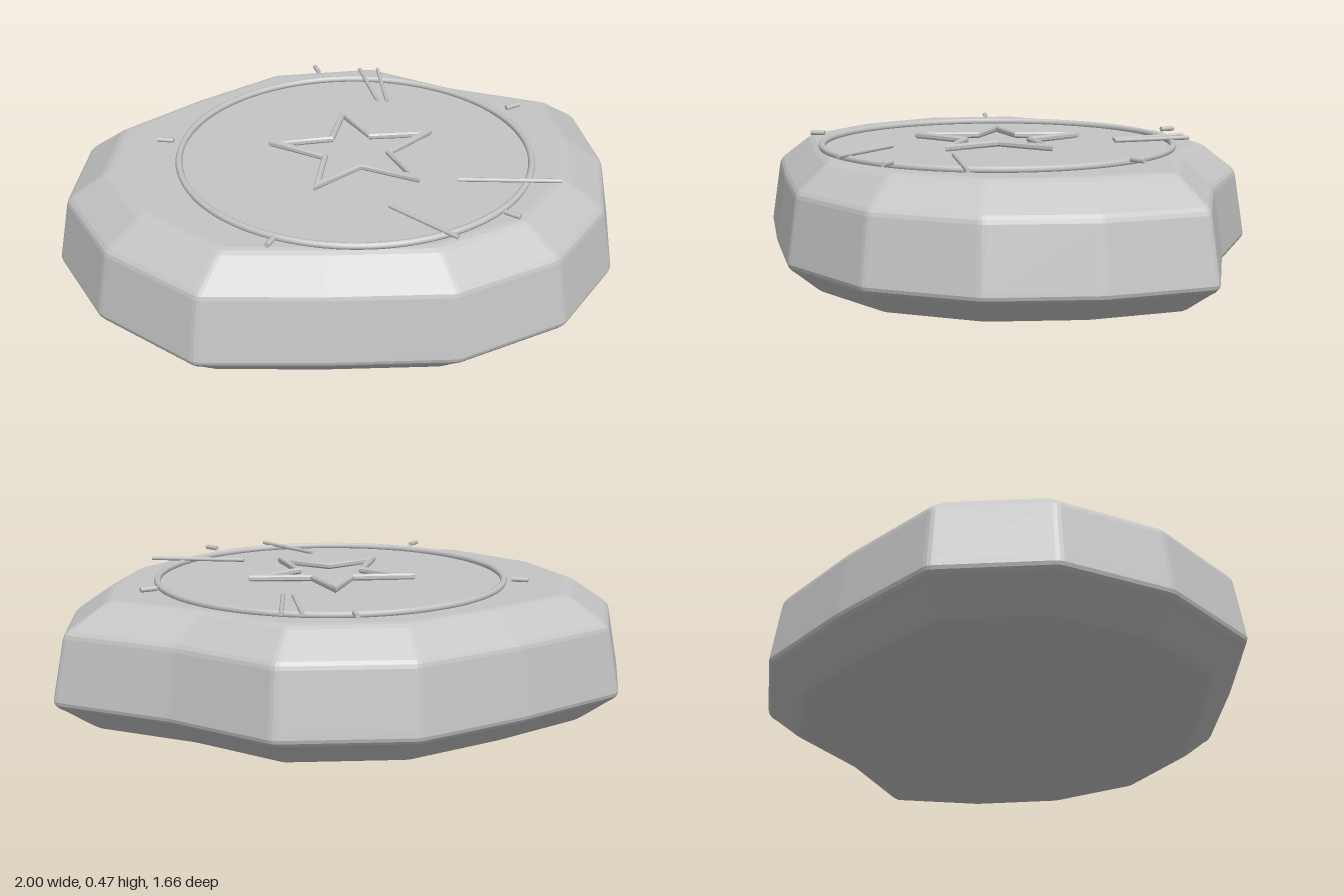
import * as THREE from 'three';

export function createModel() {
  const model = new THREE.Group();
  const stone = new THREE.MeshStandardMaterial({ color: 0xc5c5c5 });
  stone.name = 'stone';

  const add = (geometry, name) => {
    const mesh = new THREE.Mesh(geometry, stone);
    mesh.name = name;
    model.add(mesh);
    return mesh;
  };

  // Slab outline (x, z), each corner softened into three points
  const corners = [
    [-0.18, -0.83], [-0.55, -0.62], [-0.91, -0.37], [-1, 0.02], [-0.87, 0.4],
    [-0.58, 0.72], [-0.16, 0.785], [0.26, 0.83], [0.65, 0.68], [0.9, 0.38],
    [1, 0.02], [1, -0.36], [0.61, -0.57], [0.28, -0.83],
  ].map(([x, z]) => new THREE.Vector2(x, z));
  const outline = corners.flatMap((p, i) => {
    const before = p.clone().lerp(corners.at(i - 1), 0.035);
    const after = p.clone().lerp(corners[(i + 1) % corners.length], 0.035);
    const middle = before.clone().lerp(after, 0.5).lerp(p, 0.5);
    return [before, middle, after];
  });

  // Slab sides: the outline scaled through a rounded profile (scale, y)
  const profile = [
    [0, 0], [0.84, 0], [0.857, 0.003], [0.875, 0.013], [0.968, 0.078], [0.986, 0.089],
    [0.996, 0.1], [1, 0.112], [0.997, 0.13], [0.961, 0.325], [0.956, 0.338], [0.945, 0.35],
    [0.83, 0.428], [0.81, 0.437], [0.79, 0.44], [0, 0.44],
  ];
  const n = outline.length;
  const last = profile.length - 2;
  const positions = profile.flatMap(([s, y]) => outline.flatMap((p) => [p.x * s, y, p.y * s]));
  const indices = [];
  for (let j = 0; j <= last; j++) {
    for (let i = 0; i < n; i++) {
      const a = j * n + i, b = j * n + (i + 1) % n, c = a + n, d = b + n;
      if (j > 0) indices.push(a, b, d);
      if (j < last) indices.push(a, d, c);
    }
  }
  const indexed = new THREE.BufferGeometry();
  indexed.setAttribute('position', new THREE.Float32BufferAttribute(positions, 3));
  indexed.setIndex(indices);
  const slab = indexed.toNonIndexed();
  slab.computeVertexNormals();
  add(slab, 'slab');

  // Raised circle
  const cx = 0.05, cz = 0.032;
  const ring = add(new THREE.TorusGeometry(0.616, 0.012, 8, 96), 'ring');
  ring.rotation.x = -Math.PI / 2;
  ring.position.set(cx, 0.448, cz);

  // Raised star outline with bevelled edges
  const starPoints = (outer, inner) => Array.from({ length: 10 }, (_, i) => {
    const r = i % 2 ? inner : outer;
    const a = Math.PI / 2 + i * Math.PI / 5;
    return new THREE.Vector2(r * Math.cos(a), r * Math.sin(a));
  });
  const starShape = new THREE.Shape(starPoints(0.31, 0.13));
  starShape.holes.push(new THREE.Path(starPoints(0.256, 0.107).reverse()));
  const star = add(new THREE.ExtrudeGeometry(starShape, {
    depth: 0.01, bevelThickness: 0.006, bevelSize: 0.006, bevelOffset: -0.006, bevelSegments: 1,
  }), 'star');
  star.rotation.x = -Math.PI / 2;
  star.position.set(cx, 0.458, cz);

  // Scratches and tick marks: thin rounded bars between two (x, z) points
  const bar = (name, x1, z1, x2, z2, width, y) => {
    const length = Math.hypot(x2 - x1, z2 - z1);
    const geometry = new THREE.CylinderGeometry(width / 2, width / 2, length, 8);
    geometry.rotateZ(Math.PI / 2);
    const mesh = add(geometry, name);
    mesh.position.set((x1 + x2) / 2, y, (z1 + z2) / 2);
    mesh.rotation.y = -Math.atan2(z2 - z1, x2 - x1);
  };
  [
    [0.175, -0.63, 0.195, -0.35], [0.243, -0.62, 0.23, -0.34],
    [0.36, 0.292, 0.705, 0.355], [0.1, 0.43, 0.28, 0.66],
  ].forEach((p) => bar('scratch', ...p, 0.015, 0.462));
  [
    [0.005, -0.675, 0.012, -0.622], [-0.63, -0.151, -0.575, -0.135],
    [0.655, -0.21, 0.708, -0.234], [0.465, 0.53, 0.505, 0.57],
    [-0.325, 0.62, -0.297, 0.575],
  ].forEach((p) => bar('tickMark', ...p, 0.018, 0.464));

  return model;
}
